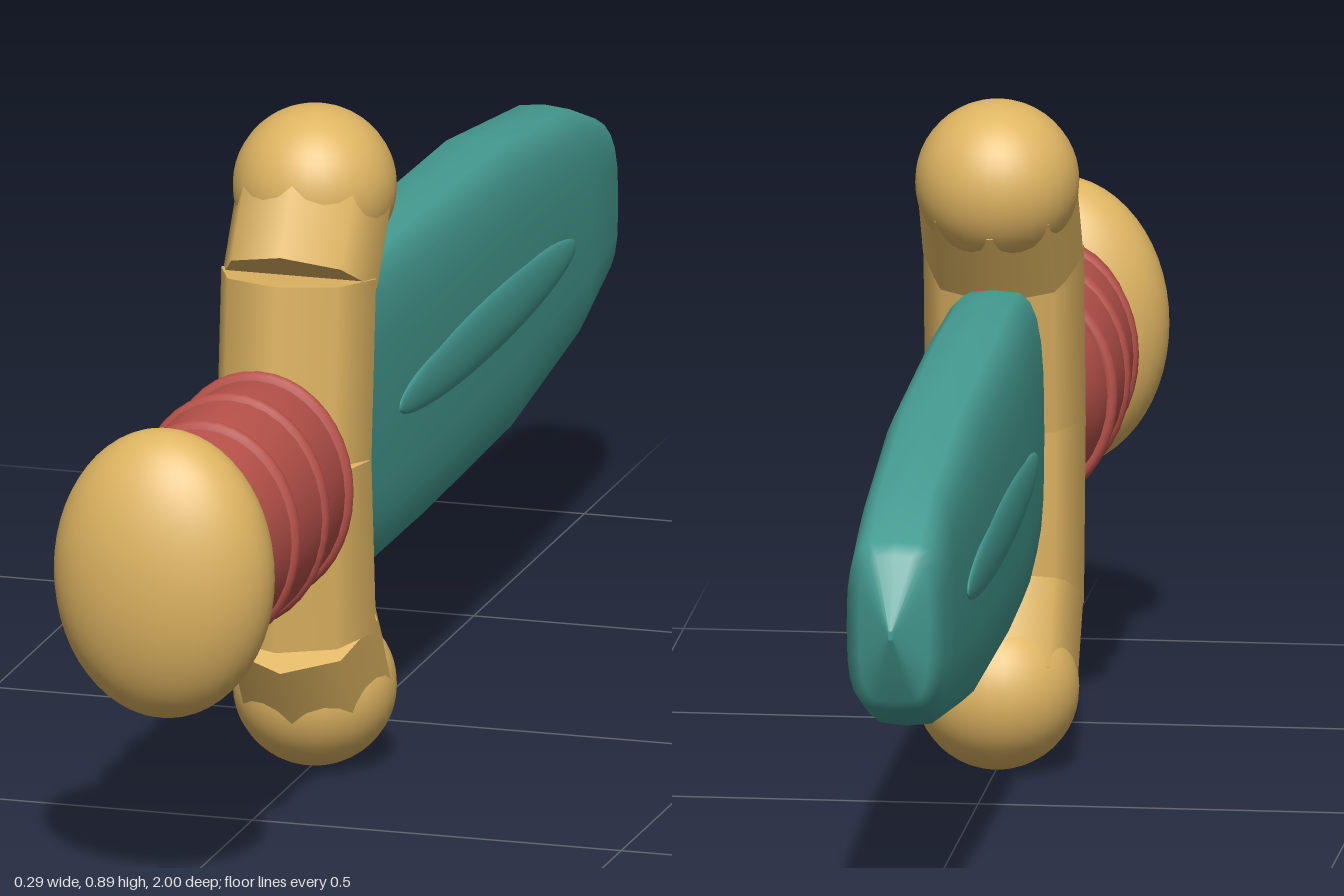
import * as THREE from 'three';

const CY = 0.446; // height of the long axis

export function createModel() {
  const model = new THREE.Group();
  model.name = 'toyDagger';
  const mat = (name, color) => {
    const m = new THREE.MeshStandardMaterial({ color });
    m.name = name;
    return m;
  };
  const gold = mat('gold', 0xdfb562);
  const red = mat('red', 0xb8524a);
  const teal = mat('teal', 0x459c92);

  const add = (name, geometry, material, x = 0, y = CY, z = 0) => {
    const mesh = new THREE.Mesh(geometry, material);
    mesh.name = name;
    mesh.position.set(x, y, z);
    model.add(mesh);
    return mesh;
  };

  // Pommel: flattened egg
  add('pommel', new THREE.SphereGeometry(1, 40, 28), gold, 0, CY, 0.898).scale.set(0.147, 0.194, 0.102);

  // Grip: barrel profile turned about z, narrower across x
  const profile = [[0, 0.29], [0.08, 0.3], [0.1, 0.35], [0.115, 0.385], [0.13, 0.42], [0.145, 0.48],
    [0.152, 0.59], [0.148, 0.7], [0.137, 0.79], [0.12, 0.85]].map(([r, z]) => new THREE.Vector2(r, z));
  const grip = new THREE.LatheGeometry(profile, 32);
  grip.rotateX(Math.PI / 2);
  add('grip', grip, red).scale.x = 0.83;

  // Raised bands on the grip
  for (const [z, r] of [[0.472, 0.143], [0.592, 0.147], [0.712, 0.143]]) {
    add('gripBand', new THREE.TorusGeometry(r, 0.012, 10, 40), red, 0, CY, z).scale.x = 0.83;
  }

  // Crossguard: two bent, eight-sided arms ending in balls
  const up = new THREE.Vector3(0, 1, 0);
  const segment = (name, a, b) => {
    const dir = b.clone().sub(a);
    const mid = a.clone().add(b).multiplyScalar(0.5);
    const mesh = add(name, new THREE.CylinderGeometry(0.105, 0.105, dir.length(), 8), gold, 0, mid.y, mid.z);
    mesh.quaternion.setFromUnitVectors(up, dir.normalize());
    // keep the same corner facing forward on both arms
  };
  for (const s of [1, -1]) {
    const at = (dy, z) => new THREE.Vector3(0, CY + s * dy, z);
    segment('guardInnerArm', at(0, 0.312), at(0.238, 0.291));
    segment('guardOuterArm', at(0.224, 0.287), at(0.335, 0.215));
    add('guardBall', new THREE.SphereGeometry(0.107, 32, 24), gold, 0, CY + s * 0.337, 0.218);
  }

  // Blade: rounded-box cross-sections [z, half height, half thickness]
  const sections = [[0.215, 0.195, 0.062], [0.1, 0.211, 0.067], [-0.1, 0.209, 0.073], [-0.5, 0.2, 0.073],
    [-0.82, 0.159, 0.066], [-0.94, 0.112, 0.064], [-0.957, 0.098, 0.046], [-1, 0.006, 0.003]];
  const N = 24;
  const pos = [];
  const index = [];
  const pow = (v, e) => Math.sign(v) * Math.abs(v) ** e;
  for (const [z, h, w] of sections) {
    for (let i = 0; i < N; i++) {
      const t = (i / N) * Math.PI * 2;
      pos.push(w * pow(Math.cos(t), 0.5), h * pow(Math.sin(t), 0.65), z);
    }
  }
  for (let k = 0; k < sections.length - 1; k++) {
    for (let i = 0; i < N; i++) {
      const a = k * N + i;
      const b = k * N + ((i + 1) % N);
      index.push(a, a + N, b, b, a + N, b + N);
    }
  }
  // Flat caps with their own corners so the ends stay crisp
  for (const k of [0, sections.length - 1]) {
    const base = pos.length / 3;
    pos.push(...pos.slice(k * N * 3, (k + 1) * N * 3));
    for (let i = 1; i < N - 1; i++) {
      if (k === 0) index.push(base, base + i, base + i + 1);
      else index.push(base, base + i + 1, base + i);
    }
  }
  const blade = new THREE.BufferGeometry();
  blade.setAttribute('position', new THREE.Float32BufferAttribute(pos, 3));
  blade.setIndex(index);
  blade.computeVertexNormals();
  add('blade', blade, teal);

  // Long raised ridge on each face of the blade
  for (const s of [1, -1]) {
    add('bladeRidge', new THREE.SphereGeometry(1, 32, 20), teal, s * 0.07, CY, -0.33).scale.set(0.011, 0.043, 0.4);
  }

  return model;
}
